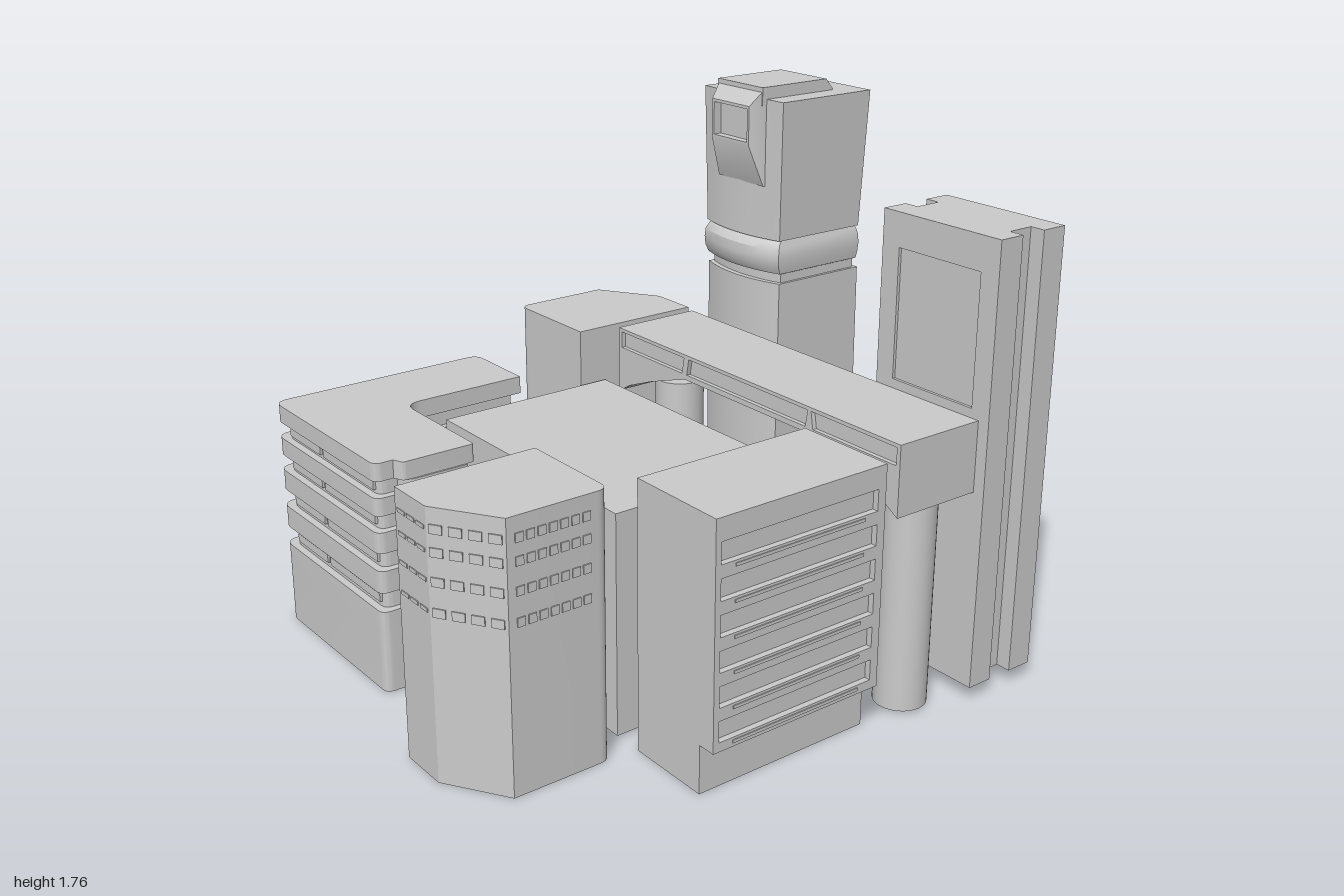
import * as THREE from 'three';
import { toCreasedNormals } from 'three/addons/utils/BufferGeometryUtils.js';

const material = new THREE.MeshStandardMaterial({ color: 0xcccccc });
const openMaterial = new THREE.MeshStandardMaterial({ color: 0xcccccc, side: THREE.DoubleSide });

function add(parent, name, geometry, mat = material) {
  const mesh = new THREE.Mesh(geometry, mat);
  mesh.name = name;
  parent.add(mesh);
  return mesh;
}

function box(parent, name, x0, x1, y0, y1, z0, z1) {
  const mesh = add(parent, name, new THREE.BoxGeometry(x1 - x0, y1 - y0, z1 - z0));
  mesh.position.set((x0 + x1) / 2, (y0 + y1) / 2, (z0 + z1) / 2);
  return mesh;
}

// Floor plan from corners [x, z, optional rounding radius]
function planShape(corners) {
  const pts = corners.map(([x, z]) => new THREE.Vector2(x, -z));
  const shape = new THREE.Shape();
  pts.forEach((p, i) => {
    const r = corners[i][2] || 0;
    const toward = q => q.clone().sub(p).setLength(r).add(p);
    const a = toward(pts[(i + pts.length - 1) % pts.length]);
    const b = toward(pts[(i + 1) % pts.length]);
    if (i) shape.lineTo(a.x, a.y); else shape.moveTo(a.x, a.y);
    if (r) shape.quadraticCurveTo(p.x, p.y, b.x, b.y);
  });
  shape.closePath();
  return shape;
}

const extrude = (shape, depth) =>
  toCreasedNormals(new THREE.ExtrudeGeometry(shape, { depth, bevelEnabled: false, curveSegments: 8 }), 0.5);

function storey(parent, name, shape, y0, y1) {
  return add(parent, name, extrude(shape, y1 - y0).rotateX(-Math.PI / 2).translate(0, y0, 0));
}

const polygon = pts => new THREE.Shape(pts.map(p => new THREE.Vector2(...p)));
const rect = (x0, x1, y0, y1) => polygon([[x0, y0], [x1, y0], [x1, y1], [x0, y1]]);

// Upright plate in the xy plane with openings
function plate(parent, name, shape, holes, z0, z1) {
  shape.holes.push(...holes);
  return add(parent, name, extrude(shape, z1 - z0).translate(0, 0, z0));
}

// Skin over rings of points, counter-clockwise about the direction of travel
function loft(rings) {
  const out = [];
  const n = rings[0].length;
  const tri = (...v) => v.forEach(p => out.push(...p));
  for (let i = 0; i < rings.length - 1; i++) {
    for (let j = 0; j < n; j++) {
      const k = (j + 1) % n, a = rings[i], b = rings[i + 1];
      tri(a[j], a[k], b[k]);
      tri(a[j], b[k], b[j]);
    }
  }
  const first = rings[0], last = rings[rings.length - 1];
  for (let j = 1; j < n - 1; j++) {
    tri(first[0], first[j + 1], first[j]);
    tri(last[0], last[j], last[j + 1]);
  }
  const g = new THREE.BufferGeometry();
  g.setAttribute('position', new THREE.Float32BufferAttribute(out, 3));
  g.computeVertexNormals();
  return toCreasedNormals(g, 0.5);
}

// Stacked rectangles [x0, x1, y0, y1, z] along z
const rectLoft = list => loft(list.map(([x0, x1, y0, y1, z]) =>
  [[x0, y0, z], [x1, y0, z], [x1, y1, z], [x0, y1, z]]));

function buildTower() {
  const g = new THREE.Group();
  g.name = 'tower';
  // Levels: y, left, right, back, front edge, bulge of the front
  const levels = [
    [0, -0.495, -0.12, -1, -0.63, 0.035], [1.1, -0.495, -0.12, -0.99, -0.63, 0.035],
    [1.1, -0.485, -0.13, -0.975, -0.645, 0.03], [1.13, -0.485, -0.13, -0.975, -0.645, 0.03],
    [1.135, -0.5, -0.118, -0.98, -0.63, 0.035], [1.16, -0.505, -0.114, -0.983, -0.62, 0.04],
    [1.19, -0.506, -0.112, -0.985, -0.617, 0.04], [1.22, -0.504, -0.114, -0.983, -0.62, 0.04],
    [1.24, -0.495, -0.122, -0.98, -0.63, 0.035], [1.25, -0.49, -0.125, -0.975, -0.64, 0.03],
    [1.25, -0.5, -0.118, -0.985, -0.625, 0.03], [1.72, -0.505, -0.102, -1, -0.612, 0.006]];
  add(g, 'shaft', loft(levels.map(([y, l, r, back, front, bulge]) => {
    const ring = [];
    for (let i = 0; i <= 12; i++) {
      const t = i / 12;
      ring.push([l + (r - l) * t, y, front + bulge * 4 * t * (1 - t)]);
    }
    return [...ring, [r, y, back], [l, y, back]];
  })));
  add(g, 'windowHood', rectLoft([
    [-0.41, -0.18, 1.43, 1.755, -0.63], [-0.41, -0.18, 1.43, 1.755, -0.6],
    [-0.39, -0.2, 1.57, 1.7, -0.55], [-0.38, -0.21, 1.58, 1.69, -0.55], [-0.38, -0.21, 1.58, 1.69, -0.58]]));
  add(g, 'roofCap', rectLoft([
    [-0.41, -0.18, 0.59, 0.9, 1.7], [-0.41, -0.18, 0.59, 0.9, 1.725], [-0.41, -0.18, 0.59, 0.87, 1.76]])
    .rotateX(-Math.PI / 2));
  add(g, 'sidePanel', rectLoft([
    [-0.92, -0.69, 1.3, 1.69, 0.48], [-0.92, -0.69, 1.3, 1.69, 0.51], [-0.9, -0.71, 1.33, 1.68, 0.54]])
    .rotateY(-Math.PI / 2));
  return g;
}

function buildSlab() {
  const g = new THREE.Group();
  g.name = 'slabTower';
  storey(g, 'slabBody', planShape([[0.44, -0.56], [0.91, -0.56], [0.91, -0.64], [0.86, -0.64], [0.86, -0.73],
    [0.91, -0.73], [0.91, -0.82], [0.44, -0.82], [0.44, -0.73], [0.49, -0.73], [0.49, -0.64], [0.44, -0.64]]), 0.05, 1.49);
  plate(g, 'frontFrame', rect(0.44, 0.91, 0.05, 1.49), [rect(0.51, 0.84, 0.96, 1.38)], -0.56, -0.55);
  const panes = [];
  for (let c = 0; c < 5; c++) for (let r = 0; r < 22; r++) {
    const x = 0.525 + c * 0.059, y = 0.08 + r * 0.061;
    panes.push(rect(x, x + 0.05, y, y + 0.05));
  }
  plate(g, 'windowGrid', rect(0.51, 0.83, 0.06, 1.435), panes, -0.84, -0.82);
  return g;
}

function buildBridge() {
  const g = new THREE.Group();
  g.name = 'bridge';
  const profile = () => polygon([[-0.49, 0.7], [-0.43, 0.735], [-0.305, 0.785], [-0.126, 0.844],
    [0.506, 0.844], [0.685, 0.785], [0.81, 0.735], [0.87, 0.7], [0.87, 0.93], [-0.49, 0.93]]);
  plate(g, 'bridgeBody', profile(), [], -0.55, -0.245);
  const openings = [[-0.475, -0.475, -0.14, -0.13], [-0.115, -0.105, 0.465, 0.475], [0.5, 0.49, 0.855, 0.855]]
    .map(([a, b, c, d]) => polygon([[a, 0.862], [c, 0.862], [d, 0.918], [b, 0.918]]));
  plate(g, 'bridgeFront', profile(), openings, -0.245, -0.23);
  for (const x of [-0.35, 0.77])
    add(g, 'column', new THREE.CylinderGeometry(0.085, 0.085, 0.75, 32)).position.set(x, 0.385, -0.385);
  return g;
}

// Block with one cut corner and rows of small windows
function buildCornerBlock(name, height) {
  const g = new THREE.Group();
  g.name = name;
  storey(g, 'blockBody', planShape([[-0.185, -0.235], [0.185, -0.235, 0.04], [0.185, 0.105],
    [-0.015, 0.235], [-0.185, 0.235]]), 0, height);
  for (const drop of [0.065, 0.135, 0.225, 0.32]) {
    const y = height - drop;
    for (let i = 0; i < 7; i++) {
      const z = -0.17 + i * 0.037;
      box(g, 'sideWindow', 0.18, 0.189, y - 0.014, y + 0.014, z, z + 0.026);
    }
    for (let i = 0; i < 4; i++) {
      const t = 0.12 + i * 0.25;
      const w = box(g, 'cornerWindow', -0.02, 0.02, -0.014, 0.014, -0.004, 0.004);
      w.position.set(-0.015 + 0.2 * t, y, 0.235 - 0.13 * t);
      w.rotation.y = Math.atan2(0.13, 0.2);
    }
    for (const x of [-0.17, -0.118, -0.066])
      box(g, 'frontWindow', x, x + 0.04, y - 0.006, y + 0.006, 0.23, 0.238);
  }
  return g;
}

function buildTerraceBlock() {
  const g = new THREE.Group();
  g.name = 'terraceBlock';
  // L-shaped plan, inset by d, with its arm ending at x = end
  const plan = (d, end) => planShape([[-0.91 + d, 0.09 + d, 0.04], [-0.91 + d, 0.87 - d, 0.05], [-0.235 - d, 0.87 - d, 0.03],
    [-0.235 - d, 0.805 - d], [end - d, 0.79 - d, 0.01], [end - d, 0.54 + d, 0.01], [-0.63 - d, 0.54 + d, 0.06], [-0.63 - d, 0.09 + d]]);
  // Base walls, open underneath
  const pts = plan(0, -0.2).getPoints(8);
  const base = new THREE.PlaneGeometry(1, 1, pts.length, 1);
  const pos = base.attributes.position;
  for (let i = 0; i < pos.count; i++) {
    const p = pts[(i % (pts.length + 1)) % pts.length];
    pos.setXYZ(i, p.x, i > pts.length ? 0 : 0.2, -p.y);
  }
  add(g, 'baseWalls', toCreasedNormals(base.toNonIndexed(), 0.5), openMaterial);
  storey(g, 'baseTop', plan(0, -0.17), 0.2, 0.28);
  storey(g, 'glazedCore', plan(0.025, -0.17), 0.28, 0.72);
  for (const [y0, y1] of [[0.345, 0.42], [0.48, 0.55], [0.605, 0.665]]) storey(g, 'terraceBand', plan(0, -0.17), y0, y1);
  storey(g, 'roofSlab', plan(0, -0.2), 0.72, 0.78);
  for (const y of [0.312, 0.45, 0.578, 0.692]) {
    for (const [x0, x1] of [[-0.84, -0.63], [-0.61, -0.28]])
      box(g, 'frontWindow', x0, x1, y - 0.014, y + 0.014, 0.84, 0.853);
    for (const [z0, z1] of [[0.16, 0.46], [0.48, 0.78]])
      box(g, 'sideWindow', -0.893, -0.88, y - 0.014, y + 0.014, z0, z1);
  }
  return g;
}

function buildCentralBlock() {
  const g = new THREE.Group();
  g.name = 'centralBlock';
  // Two halves around a round court with a narrow slit front and back
  const cx = -0.056, cz = 0.13, r = 0.2, gap = 0.012;
  for (const [side, outer] of [[-1, -0.52], [1, 0.42]]) {
    const inner = cx + side * gap;
    const corners = [[inner, 0.45], [outer, 0.45], [outer, -0.19], [inner, -0.19]];
    const lim = Math.acos(gap / r);
    for (let i = 0; i <= 20; i++) {
      const a = -lim + 2 * lim * i / 20;
      corners.push([cx + side * r * Math.cos(a), cz + r * Math.sin(a)]);
    }
    storey(g, 'halfBlock', planShape(corners), 0.01, 0.72);
    for (let i = 0; i < 12; i++) {
      const y = 0.06 + i * 0.056, x = inner + side * 0.026;
      for (const z of [0.45, -0.19]) box(g, 'slitWindow', x - 0.022, x + 0.022, y, y + 0.036, z - 0.006, z + 0.006);
    }
  }
  box(g, 'roof', -0.52, 0.42, 0.72, 0.74, -0.19, 0.45);
  return g;
}

function buildLouvreBlock() {
  const g = new THREE.Group();
  g.name = 'louvreBlock';
  box(g, 'plinth', 0.51, 0.8, 0, 0.165, -0.19, 0.44);
  box(g, 'louvreBody', 0.51, 0.84, 0.16, 0.88, -0.19, 0.44);
  const openings = [];
  for (let i = 0; i < 6; i++) {
    const y = 0.19 + i * 0.11;
    openings.push(rect(-0.42, 0.16, y, y + 0.068));
    box(g, 'sill', 0.85, 0.863, y - 0.018, y - 0.008, -0.11, 0.37);
  }
  plate(g, 'louvreFrame', rect(-0.44, 0.19, 0.16, 0.88), openings, 0.84, 0.86).rotation.y = Math.PI / 2;
  return g;
}

export function createModel() {
  const model = new THREE.Group();
  model.name = 'buildingComplex';
  const frontBlock = buildCornerBlock('frontCornerBlock', 0.87);
  frontBlock.position.set(0.315, 0, 0.765);
  const backBlock = buildCornerBlock('backCornerBlock', 0.93);
  backBlock.position.set(-0.715, 0, -0.33);
  backBlock.rotation.y = Math.PI;
  model.add(buildTower(), buildSlab(), buildBridge(), frontBlock, backBlock,
    buildTerraceBlock(), buildCentralBlock(), buildLouvreBlock());
  return model;
}
